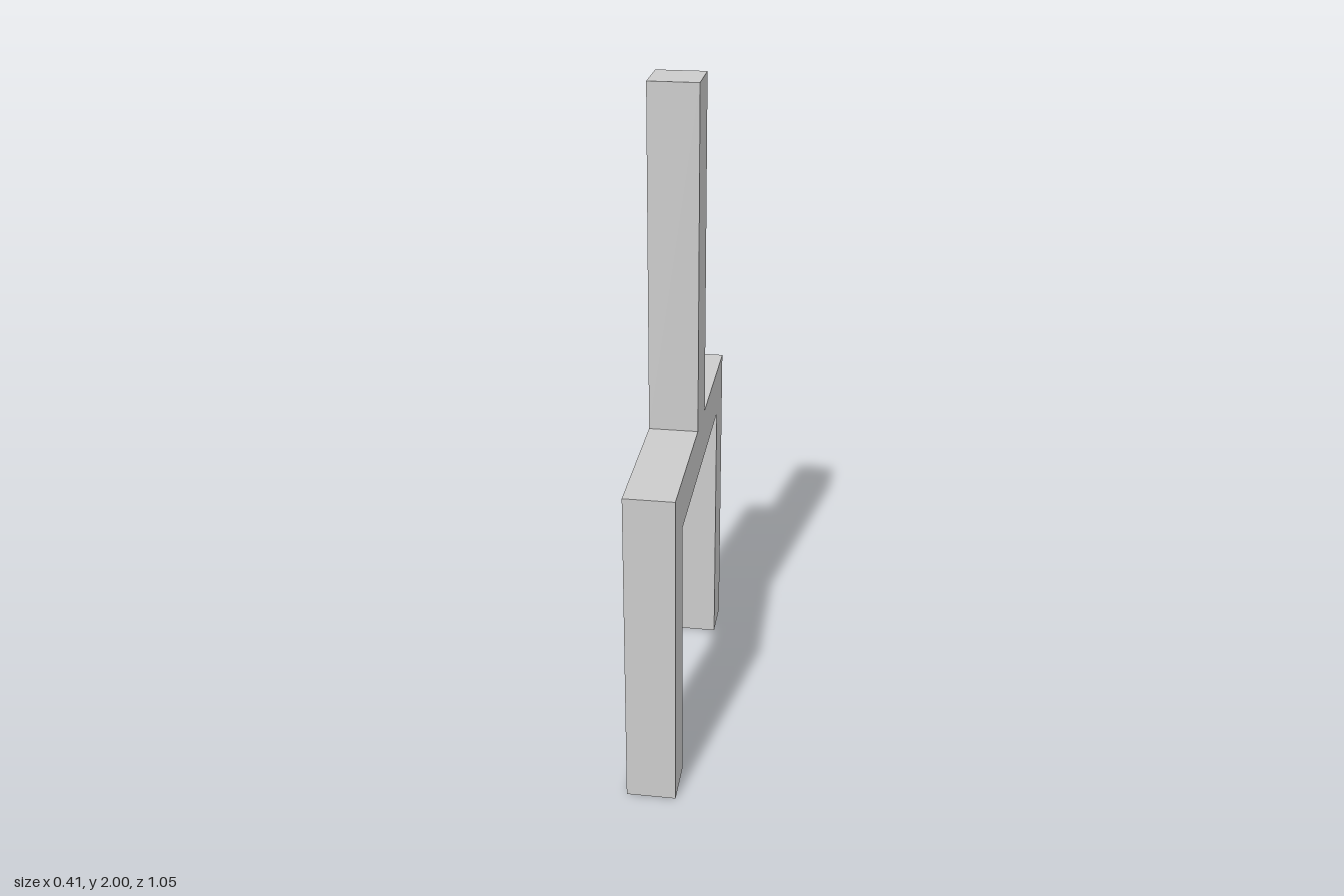
import * as THREE from 'three';

export function createModel() {
  const group = new THREE.Group();
  group.name = 'forkedPost';

  const halfSpan = 0.526, legDepth = 0.139, postHalf = 0.077;
  const beamBottom = 0.83, beamTop = 0.98, height = 2, width = 0.145;

  // Half outline from the post top down to the inside of the leg, then mirrored
  const half = [
    [postHalf, height],
    [postHalf, beamTop],
    [halfSpan, beamTop],
    [halfSpan, 0],
    [halfSpan - legDepth, 0],
    [halfSpan - legDepth, beamBottom],
  ];
  const mirrored = half.map(([s, y]) => [-s, y]).reverse();
  const outline = new THREE.Shape([...half, ...mirrored].map(([s, y]) => new THREE.Vector2(s, y)));

  // Post, crossbeam and two legs as one solid running front to back
  const geometry = new THREE.ExtrudeGeometry(outline, { depth: width, bevelEnabled: false });
  geometry.translate(0, 0, -width / 2);
  geometry.rotateY(-Math.PI / 2);

  const frame = new THREE.Mesh(
    geometry,
    new THREE.MeshStandardMaterial({ color: 0xcccccc, flatShading: true }),
  );
  frame.name = 'postBeamAndLegs';
  frame.rotation.y = THREE.MathUtils.degToRad(15);
  group.add(frame);
  return group;
}
